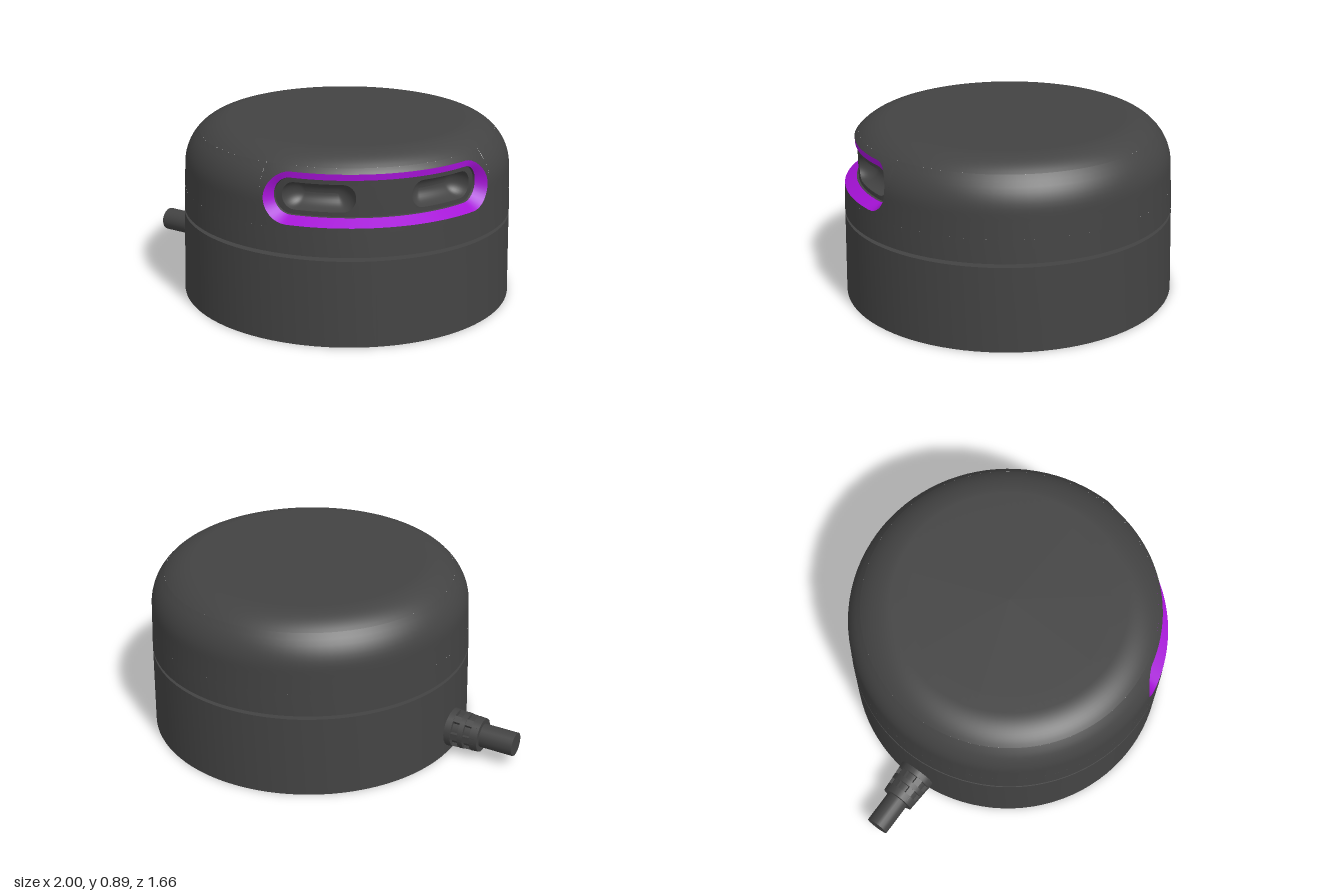
import * as THREE from 'three';
import { toCreasedNormals } from 'three/addons/utils/BufferGeometryUtils.js';

const CX = 0.17;      // body axis
const CY = 0.69;      // height of the window centre
const ARC = 0.8;      // arc length per radian used for window coordinates

// Outer radius of the upper shell at height y: tapered wall, then a round shoulder
const shellR = (y) => (y < 0.66
  ? 0.82 - (y - 0.435) * 0.0444
  : 0.58 + 0.23 * Math.sqrt(Math.max(0, 1 - ((y - 0.66) / 0.23) ** 2)));

// Stadium outline: position along the core line, and outward direction
const outline = [];
for (let i = 0; i < 24; i++) outline.push([-1 + i / 12, 0, -1]);
for (let i = 0; i < 16; i++) {
  const a = -Math.PI / 2 + (Math.PI * i) / 16;
  outline.push([1, Math.cos(a), Math.sin(a)]);
}
outline.push(...outline.map(([c, x, y]) => [-c, -x, -y]));

// Stadium loop wrapped round the body; square(dx) blends round ends to square ones
function loop(cu, L, h, radius, square = () => 0) {
  return outline.map(([c, dx, dy]) => {
    const k = THREE.MathUtils.lerp(1, 1 / Math.max(Math.abs(dx), Math.abs(dy)), square(dx));
    const a = Math.PI / 4 + (cu + c * L + dx * h * k) / ARC;
    const y = CY + dy * h * k;
    const r = typeof radius === 'function' ? radius(y) : radius;
    return [CX + r * Math.sin(a), y, r * Math.cos(a)];
  });
}

// Skin between closed loops, listed from the outside in
function loft(loops) {
  const n = outline.length;
  const index = [];
  for (let k = 0; k < loops.length - 1; k++) {
    for (let i = 0; i < n; i++) {
      const a = k * n + i, b = k * n + ((i + 1) % n);
      index.push(a, b, b + n, a, b + n, a + n);
    }
  }
  const g = new THREE.BufferGeometry();
  g.setAttribute('position', new THREE.Float32BufferAttribute(loops.flat(2), 3));
  g.setIndex(index);
  g.computeVertexNormals();
  return g;
}

const steps = (n, f) => Array.from({ length: n + 1 }, (_, i) => f(i / n));
const lerp = THREE.MathUtils.lerp;

export function createModel() {
  const model = new THREE.Group();
  const dark = new THREE.MeshStandardMaterial({ color: 0x434343 });
  const purple = new THREE.MeshStandardMaterial({ color: 0xa512d6 });
  const add = (name, geometry, material = dark, parent = model) => {
    const m = new THREE.Mesh(geometry, material);
    m.name = name;
    parent.add(m);
    return m;
  };
  const lathe = (name, pts, segs = 96, start = 0, length = Math.PI * 2) => {
    const g = new THREE.LatheGeometry(pts.map((p) => new THREE.Vector2(...p)), segs, start, length);
    add(name, g).position.x = CX;
  };

  // Base and seam groove, with sharp edges
  const base = new THREE.LatheGeometry(
    [[0, 0], [0.83, 0], [0.82, 0.417], [0.77, 0.417], [0.77, 0.435], [0.82, 0.435], [shellR(0.55), 0.55]]
      .map((p) => new THREE.Vector2(...p)), 96);
  add('base', toCreasedNormals(base, 0.6)).position.x = CX;

  // Upper shell: wall band that leaves a gap for the window, and the domed lid
  lathe('upperWall', steps(12, (t) => [shellR(lerp(0.55, 0.83, t)), lerp(0.55, 0.83, t)]),
    72, Math.PI / 4 + 0.75, Math.PI * 2 - 1.5);
  const a0 = Math.asin(0.17 / 0.23);
  const shoulder = steps(10, (t) => {
    const a = lerp(a0, Math.PI / 2, t);
    return [0.58 + 0.23 * Math.cos(a), 0.66 + 0.23 * Math.sin(a)];
  });
  lathe('lid', [...shoulder, [0.5, 0.89], [0, 0.89]]);

  // Wall around the window
  add('windowSurround', loft(steps(4, (t) =>
    loop(0, 0.46, lerp(0.14, 0.117, t), shellR, () => 1 - t))));

  // Coloured bevel ring and the small step behind it
  add('windowRing', loft([loop(0, 0.46, 0.117, shellR), loop(0, 0.46, 0.088, 0.755)]), purple);
  add('windowStep', loft([loop(0, 0.46, 0.088, 0.755), loop(0, 0.46, 0.086, 0.745)]));

  // Recessed panel in two halves, each with a scooped pocket
  for (const side of [-1, 1]) {
    const inner = (dx) => (dx * side < 0 ? 1 : 0);
    add('windowPanel', loft(steps(4, (t) => loop(side * lerp(0.273, 0.325, t),
      lerp(0.187, 0.12, t), lerp(0.086, 0.065, t), 0.745, (dx) => inner(dx) * (1 - t)))));
    add('sensorPocket', loft(steps(10, (t) => {
      const a = (t * Math.PI) / 2;
      return loop(side * 0.325, 0.12 - 0.03 * t, 0.065 * Math.cos(a), 0.745 - 0.08 * Math.sin(a));
    })));
  }

  // Cable with a slotted strain relief, leaving to the side
  const cord = new THREE.Group();
  cord.name = 'cord';
  cord.position.y = 0.12;
  model.add(cord);
  const reliefR = (x) => lerp(0.086, 0.098, (x + 0.825) / 0.165);
  const tube = (name, x0, x1, r0, r1) => {
    const m = add(name, new THREE.CylinderGeometry(r0, r1, x1 - x0, 20), dark, cord);
    m.rotation.z = Math.PI / 2;
    m.position.x = (x0 + x1) / 2;
  };
  tube('cable', -1, -0.6, 0.06, 0.06);
  tube('reliefCore', -0.82, -0.6, 0.072, 0.08);
  for (const [x0, x1] of [[-0.825, -0.785], [-0.748, -0.722], [-0.685, -0.62]]) {
    tube('reliefCollar', x0, x1, reliefR(x0), reliefR(x1));
  }
  for (let i = 0; i < 6; i++) {
    const rib = new THREE.Group();
    rib.name = 'reliefRib';
    rib.rotation.x = ((i + 0.5) * Math.PI) / 3;
    cord.add(rib);
    const bar = add('reliefBar', new THREE.BoxGeometry(0.15, 0.04, 0.035), dark, rib);
    bar.position.set(-0.735, 0.07, 0);
    bar.rotation.z = 0.07;
  }
  return model;
}
